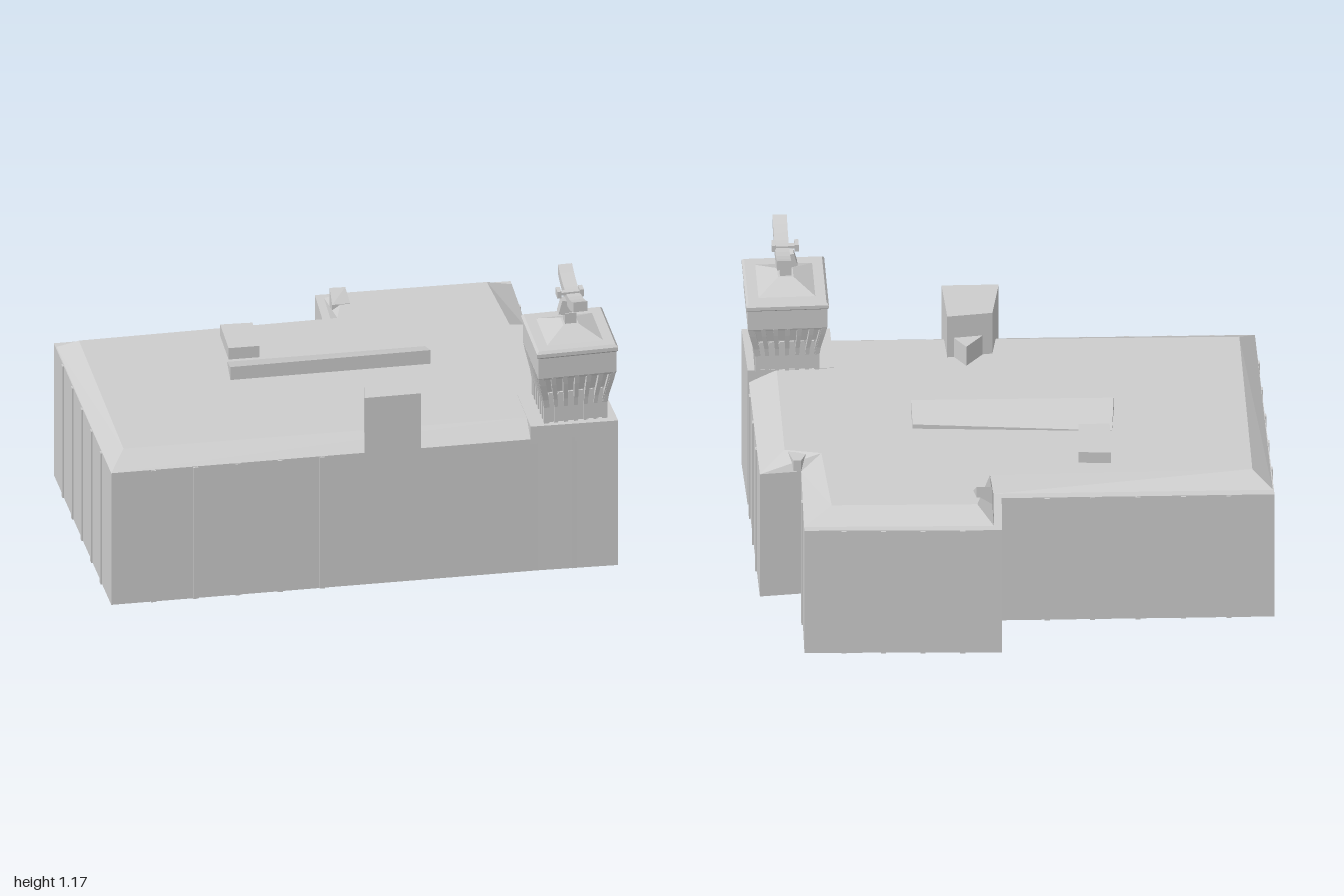
import * as THREE from 'three';

const stone = new THREE.MeshStandardMaterial({ color: 0xcccccc });
stone.name = 'pale grey';
stone.flatShading = true;

// Turn a footprint of [x, z] corners into a level loop.
const level = (pts, y) => pts.map(([x, z]) => [x, y, z]);
const rect = (x0, x1, z0, z1) => [[x0, z1], [x1, z1], [x1, z0], [x0, z0]];
const square = (cx, cz, h) => rect(cx - h, cx + h, cz - h, cz + h);

// Skin a stack of counter-clockwise loops, closed at the bottom and top.
function loft(loops) {
  const pos = [];
  const tri = (a, b, c) => {
    const t = new THREE.Triangle(...[a, b, c].map(p => new THREE.Vector3(...p)));
    if (t.getArea() > 1e-8) pos.push(...a, ...b, ...c);
  };
  const n = loops[0].length;
  for (let k = 0; k < loops.length - 1; k++) {
    const lo = loops[k], hi = loops[k + 1];
    for (let i = 0; i < n; i++) {
      const j = (i + 1) % n;
      tri(lo[i], lo[j], hi[j]);
      tri(lo[i], hi[j], hi[i]);
    }
  }
  const cap = (loop, flip) => {
    const flat = loop.map(p => new THREE.Vector2(p[0], -p[2]));
    for (const [a, b, c] of THREE.ShapeUtils.triangulateShape(flat, []))
      flip ? tri(loop[a], loop[c], loop[b]) : tri(loop[a], loop[b], loop[c]);
  };
  cap(loops[0], true);
  cap(loops[loops.length - 1], false);
  const g = new THREE.BufferGeometry();
  g.setAttribute('position', new THREE.Float32BufferAttribute(pos, 3));
  g.computeVertexNormals();
  return g;
}

function add(parent, name, geometry) {
  const m = new THREE.Mesh(geometry, stone);
  m.name = name;
  parent.add(m);
  return m;
}
const prism = (parent, name, pts, y0, y1) => add(parent, name, loft([level(pts, y0), level(pts, y1)]));

function createTower() {
  const tower = new THREE.Group();
  tower.name = 'tower';
  const frustum = (name, ...steps) =>
    add(tower, name, loft(steps.map(([y, h]) => level(square(0, 0, h), y))));

  frustum('shaft', [0.63, 0.113], [0.77, 0.115], [0.85, 0.135]);

  // Pilasters and flaring corbels on all four sides
  const flare = y => 1 + 0.22 * THREE.MathUtils.clamp((y - 0.72) / 0.125, 0, 1);
  for (let side = 0; side < 4; side++) {
    const face = new THREE.Group();
    face.name = 'arcadeSide';
    face.rotation.y = side * Math.PI / 2;
    tower.add(face);
    for (let i = 0; i < 7; i++) {
      const rib = new THREE.BoxGeometry(0.015, 0.215, 0.022, 1, 6, 1);
      rib.translate((i - 3) * 0.0385, 0.7425, 0.114);
      const p = rib.attributes.position;
      for (let v = 0; v < p.count; v++) {
        const f = flare(p.getY(v));
        p.setXYZ(v, p.getX(v) * f, p.getY(v), p.getZ(v) * f);
      }
      rib.computeVertexNormals();
      add(face, 'corbel', rib);
      if (i === 6) continue;
      const w = 0.014, panel = new THREE.Shape();
      panel.moveTo(-w, 0.64);
      panel.lineTo(w, 0.64);
      panel.lineTo(w, 0.755);
      panel.lineTo(w * 0.6, 0.768);
      panel.lineTo(-w * 0.6, 0.768);
      panel.lineTo(-w, 0.755);
      const pilaster = add(face, 'pilaster', new THREE.ExtrudeGeometry(panel, { depth: 0.01, bevelEnabled: false }));
      pilaster.position.set((i - 2.5) * 0.0385, 0, 0.111);
    }
  }

  frustum('lookoutRoom', [0.843, 0.15], [0.852, 0.153], [0.945, 0.153]);
  frustum('cornice', [0.94, 0.153], [0.947, 0.159], [0.962, 0.159], [0.972, 0.15]);
  frustum('hippedRoof', [0.968, 0.118], [1.01, 0.03]);
  frustum('mastBase', [1.005, 0.022], [1.055, 0.022]);

  // Radar neck, curved antenna and feed
  const neck = add(tower, 'radarNeck', new THREE.BoxGeometry(0.05, 0.06, 0.036));
  neck.position.set(-0.015, 1.075, 0);
  neck.rotation.z = -0.25;
  const arc = new THREE.Shape();
  const curve = t => 1.09 + 0.042 * t * t, N = 8;
  for (let i = 0; i <= N; i++) {
    const t = i / N * 2 - 1;
    i ? arc.lineTo(t * 0.153, curve(t)) : arc.moveTo(t * 0.153, curve(t));
  }
  for (let i = N; i >= 0; i--) {
    const t = i / N * 2 - 1;
    arc.lineTo(t * 0.153, curve(t) + 0.043);
  }
  const antenna = new THREE.ExtrudeGeometry(arc, { depth: 0.055, bevelEnabled: false });
  antenna.translate(0, 0, -0.0275);
  antenna.rotateY(-Math.PI / 2);
  add(tower, 'radarAntenna', antenna).position.x = 0.013;
  add(tower, 'radarFeedArm', new THREE.BoxGeometry(0.09, 0.012, 0.02)).position.set(0.005, 1.135, 0);
  for (const x of [-0.043, 0.045])
    add(tower, 'radarFeed', new THREE.BoxGeometry(0.016, 0.03, 0.038)).position.set(x, 1.137, 0);

  tower.position.set(0.84, 0, 0.495);
  return tower;
}

export function createModel() {
  const model = new THREE.Group();
  model.name = 'building';

  // Main hall: wall outline, ledge line and roof edge share corner order
  const wall = [[-0.975, 0.575], [0.67, 0.63], [0.99, 0.64], [0.98, -0.23], [0.82, -0.22],
    [0.83, -0.61], [0.07, -0.65], [0.06, -0.44], [-0.99, -0.475]];
  const ledge = [[-0.975, 0.575], [0.67, 0.63], [0.99, 0.64], [0.98, -0.23], [0.82, -0.22],
    [0.83, -0.585], [0.1, -0.62], [0.09, -0.41], [-0.985, -0.445]];
  const roof = [[-0.91, 0.49], [0.66, 0.555], [0.88, 0.56], [0.88, -0.15], [0.74, -0.18],
    [0.72, -0.525], [0.16, -0.55], [0.1, -0.36], [-0.91, -0.38]];
  add(model, 'hall', loft([level(wall, 0), level(wall, 0.58), level(ledge, 0.58), level(roof, 0.635)]));

  // Thin upright wall ribs, spaced along each wall
  wall.forEach(([x0, z0], i) => {
    const [x1, z1] = wall[(i + 1) % wall.length];
    const len = Math.hypot(x1 - x0, z1 - z0);
    const count = Math.round(len / 0.165);
    for (let k = 1; k < count; k++) {
      const t = k / count, x = x0 + (x1 - x0) * t;
      if (i === 0 && x > 0) continue;
      const rib = add(model, 'wallRib', new THREE.BoxGeometry(0.02, 0.578, 0.012));
      rib.position.set(x, 0.289, z0 + (z1 - z0) * t);
      rib.rotation.y = -Math.atan2(z1 - z0, x1 - x0);
    }
  });

  // Solid corner under the tower
  prism(model, 'towerPlinth', [[0.66, 0.632], [1, 0.65], [0.992, 0.375], [0.66, 0.375]], 0.56, 0.637);
  prism(model, 'towerCorner', [[0.68, 0.63], [1, 0.65], [0.992, 0.375], [0.68, 0.375]], 0, 0.56);

  // Stair block at the front edge, with a pointed porch behind
  prism(model, 'stairBlock', [[0.01, 0.62], [0.23, 0.626], [0.22, 0.42], [0.045, 0.435]], 0.57, 0.828);
  prism(model, 'porch', [[0.075, 0.44], [0.2, 0.43], [0.15, 0.36]], 0.62, 0.725);

  // Long sloping skylight and roof vent
  const skylight = [[-0.4, 0.04], [0.38, 0.065], [0.38, -0.04], [-0.385, -0.1]];
  const tops = [0.692, 0.695, 0.655, 0.637];
  add(model, 'skylight', loft([level(skylight, 0.62), skylight.map(([x, z], i) => [x, tops[i], z])]));
  prism(model, 'roofVent', [[-0.375, -0.12], [-0.255, -0.115], [-0.245, -0.3], [-0.37, -0.31]], 0.62, 0.685);

  // Small sloped upstands at the roof corners
  const upstand = [[0.1, -0.46], [0.17, -0.46], [0.16, -0.505], [0.1, -0.51]];
  const rise = [0.637, 0.637, 0.685, 0.685];
  add(model, 'roofUpstand', loft([level(upstand, 0.58), upstand.map(([x, z], i) => [x, rise[i], z])]));
  prism(model, 'notchUpstand', [[0.8, -0.18], [0.87, -0.15], [0.85, -0.22], [0.82, -0.22]], 0.58, 0.632);

  model.add(createTower());
  return model;
}
